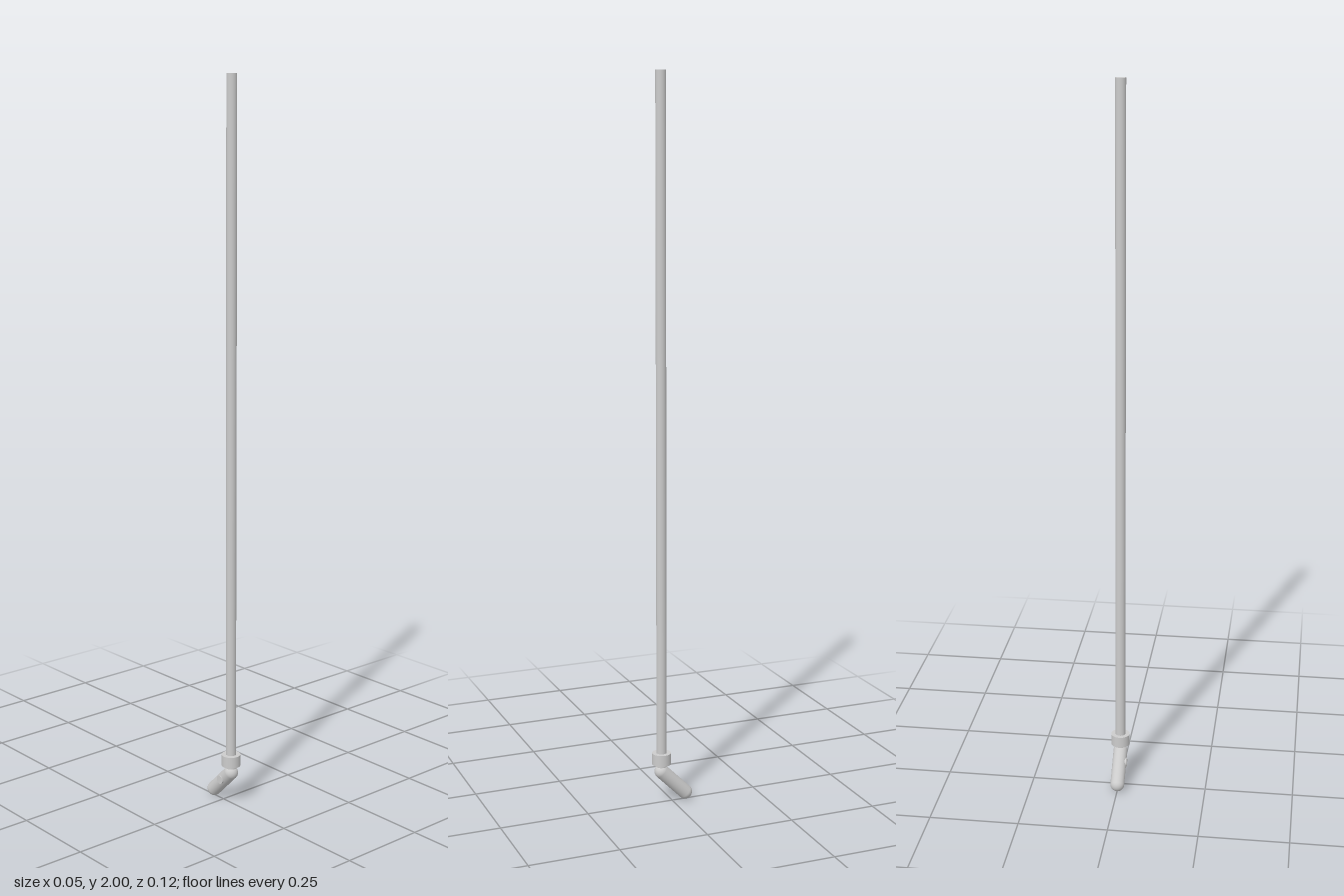
import * as THREE from 'three';

export function createModel() {
  const model = new THREE.Group();
  const material = new THREE.MeshStandardMaterial({ color: 0xcccccc });
  const axisZ = 0.032;

  function add(name, geometry, x, y, z, parent = model) {
    const mesh = new THREE.Mesh(geometry, material);
    mesh.name = name;
    mesh.position.set(x, y, z);
    parent.add(mesh);
    return mesh;
  }
  // Upright cylinder between two heights on the rod axis
  function upright(name, radius, bottom, top) {
    return add(name, new THREE.CylinderGeometry(radius, radius, top - bottom, 40), 0, (bottom + top) / 2, axisZ);
  }

  upright('rod', 0.014, 0.14, 2);
  upright('collar', 0.0265, 0.113, 0.145);
  upright('neck', 0.014, 0.09, 0.115);

  // Round-ended arm sloping down to the back at 45 degrees
  const arm = new THREE.Group();
  arm.name = 'angledArm';
  arm.position.set(0, 0.055, -0.0035);
  arm.rotation.x = Math.PI / 4;
  model.add(arm);
  add('armBody', new THREE.CapsuleGeometry(0.02, 0.1, 14, 40), 0, 0, 0, arm);

  // Small low button on the right side of the arm
  const button = add('sideButton', new THREE.CylinderGeometry(0.012, 0.012, 0.006, 28), -0.0185, 0.016, 0, arm);
  button.rotation.z = Math.PI / 2;

  return model;
}
